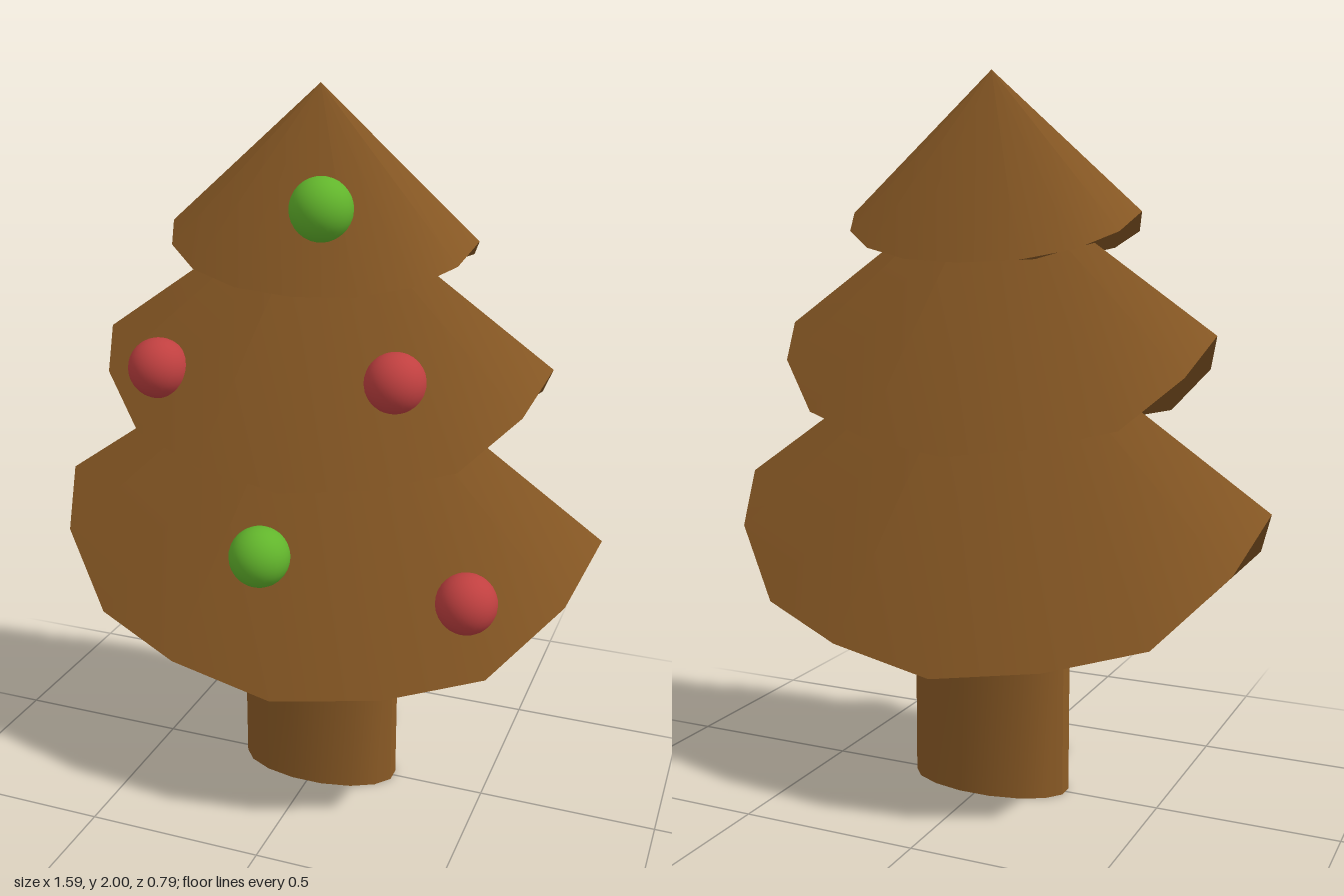
import * as THREE from 'three';
import { toCreasedNormals } from 'three/addons/utils/BufferGeometryUtils.js';

const SIDES = 16;
const CREASE = 0.6;

const paint = (color) => new THREE.MeshStandardMaterial({ color });

// Underside triangles by rim index (0 = left tip, 4 = front, 8 = right tip, 12 = back)
const UNDERSIDE = [
  // left end, gathered to the tip
  [0, 1, 2], [0, 2, 3], [0, 3, 13], [0, 13, 14], [0, 14, 15],
  // middle strips from front to back
  [3, 4, 12], [3, 12, 13], [4, 5, 11], [4, 11, 12],
  // right end, gathered beside the tip
  [9, 5, 6], [9, 6, 7], [9, 7, 8], [9, 10, 11], [9, 11, 5],
];

// Turn a list of [x, y, z] corners into a triangle geometry.
function fromCorners(corners) {
  const geo = new THREE.BufferGeometry();
  geo.setAttribute('position', new THREE.Float32BufferAttribute(corners.flat(), 3));
  return geo;
}

// Oval cone whose rim droops from the sides to the middle; drops = rim heights
// from the outer tip (x = rx) to the centre (x = 0).
function makeTier(name, apexY, rx, rz, drops, material) {
  const rim = [];
  for (let k = 0; k < SIDES; k++) {
    const a = (k / SIDES) * Math.PI * 2;
    const q = k % 8;
    rim.push([rx * Math.cos(a), drops[q <= 4 ? q : 8 - q], rz * Math.sin(a)]);
  }

  // sloping sides, smooth apart from the ridge at each tip
  const slope = rim.flatMap((p, k) => [[0, apexY, 0], rim[(k + 1) % SIDES], p]);
  const sides = new THREE.Mesh(toCreasedNormals(fromCorners(slope), CREASE), material);
  sides.name = 'branches';

  // warped underside, shaded as one downward face
  const under = fromCorners(UNDERSIDE.flatMap((t) => t.map((i) => rim[i])));
  const normals = UNDERSIDE.flatMap(() => [0, -1, 0, 0, -1, 0, 0, -1, 0]);
  under.setAttribute('normal', new THREE.Float32BufferAttribute(normals, 3));
  const underMaterial = material.clone();
  underMaterial.side = THREE.DoubleSide;
  const underside = new THREE.Mesh(under, underMaterial);
  underside.name = 'underside';

  const tier = new THREE.Group();
  tier.name = name;
  tier.add(sides, underside);
  return tier;
}

export function createModel() {
  const group = new THREE.Group();
  const wood = paint(0x8d5c26);
  const red = paint(0xc04040);
  const green = paint(0x62b52c);

  // oval trunk, with a narrow flat face at each end of the oval
  const trunkGeo = new THREE.CylinderGeometry(1, 1, 0.463, SIDES);
  trunkGeo.rotateY(Math.PI / SIDES);
  trunkGeo.scale(0.235, 1, 0.12);
  trunkGeo.translate(0, 0.2315, 0);
  const trunk = new THREE.Mesh(toCreasedNormals(trunkGeo, CREASE), wood);
  trunk.name = 'trunk';
  group.add(trunk);

  // three tiers of branches
  group.add(
    makeTier('lowerTier', 1.4, 0.793, 0.395, [0.85, 0.714, 0.535, 0.468, 0.42], wood),
    makeTier('middleTier', 1.75, 0.638, 0.318, [1.305, 1.206, 1.076, 1.026, 0.993], wood),
    makeTier('upperTier', 2.0, 0.43, 0.214, [1.622, 1.571, 1.526, 1.498, 1.49], wood),
  );

  // baubles half sunk into the front
  const ball = new THREE.SphereGeometry(0.083, 32, 16);
  [
    [0.052, 1.702, 0.135, green],
    [-0.41, 1.247, 0.165, red],
    [0.262, 1.27, 0.152, red],
    [-0.063, 0.795, 0.298, green],
    [0.484, 0.707, 0.203, red],
  ].forEach(([x, y, z, material], i) => {
    const bauble = new THREE.Mesh(ball, material);
    bauble.name = `bauble${i + 1}`;
    bauble.position.set(x, y, z);
    group.add(bauble);
  });

  return group;
}
